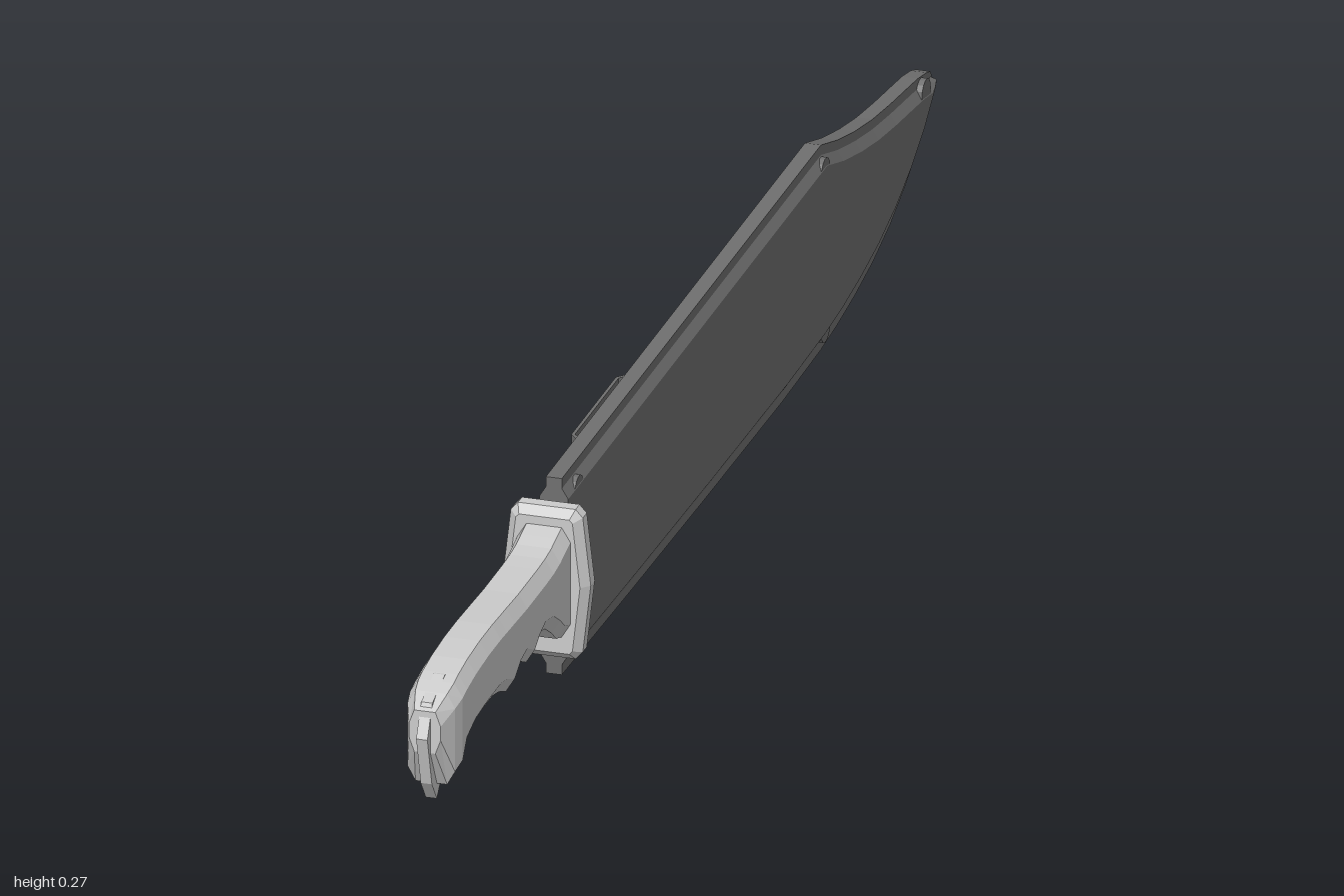
import * as THREE from 'three';

const grey = new THREE.MeshStandardMaterial({ color: 0xcccccc, flatShading: true });
const dark = new THREE.MeshStandardMaterial({ color: 0x707070, flatShading: true, side: THREE.DoubleSide });

// Loft along z. stations: [z, top, bottom, widthScale]; edge: [halfWidth, inset] from rim to flank.
function loft(stations, edge) {
  const pos = [], index = [];
  const depth = edge[edge.length - 1][1];
  const n = edge.length * 4;
  for (const [z, top, bottom, w = 1] of stations) {
    const k = Math.min(1, (top - bottom) * 0.45 / depth);
    const right = [
      ...edge.map(([x, d]) => [x * w, bottom + d * k]),
      ...edge.map(([x, d]) => [x * w, top - d * k]).reverse(),
    ];
    const left = right.map(([x, y]) => [-x, y]).reverse();
    for (const [x, y] of [...right, ...left]) pos.push(x, y, z);
  }
  const rows = stations.length;
  for (let r = 0; r < rows - 1; r++) {
    for (let i = 0; i < n; i++) {
      const j = (i + 1) % n, a = r * n + i, b = r * n + j;
      index.push(a, a + n, b, b, a + n, b + n);
    }
  }
  // End caps
  for (const r of [0, rows - 1]) {
    const [z, top, bottom] = stations[r];
    const c = pos.length / 3;
    pos.push(0, (top + bottom) / 2, z);
    for (let i = 0; i < n; i++) {
      const a = r * n + i, b = r * n + (i + 1) % n;
      if (r === 0) index.push(c, a, b);
      else index.push(c, b, a);
    }
  }
  const g = new THREE.BufferGeometry();
  g.setAttribute('position', new THREE.Float32BufferAttribute(pos, 3));
  g.setIndex(index);
  g.computeVertexNormals();
  return g;
}

const shapeOf = (pts) => new THREE.Shape(pts.map(([x, y]) => new THREE.Vector2(x, y)));

export function createModel() {
  const model = new THREE.Group();
  const add = (name, geometry, material) => {
    const mesh = new THREE.Mesh(geometry, material);
    mesh.name = name;
    model.add(mesh);
    return mesh;
  };

  // Sheath with a stepped rim, following the clipped blade outline
  add('sheath', loft([
    [0.475, 0.27, 0.014], [0.2, 0.27, 0.008], [-0.1, 0.27, 0.003], [-0.4, 0.27, 0],
    [-0.555, 0.27, 0.003], [-0.62, 0.249, 0.008], [-0.69, 0.231, 0.017], [-0.76, 0.217, 0.03],
    [-0.83, 0.207, 0.05], [-0.89, 0.2, 0.075], [-0.94, 0.194, 0.103], [-0.975, 0.187, 0.131],
    [-0.993, 0.181, 0.15, 0.9], [-1, 0.174, 0.161, 0.8],
  ], [[0.01, 0], [0.01, 0.013], [0.018, 0.026]]), dark);

  // Rivets let into the sloping rim
  for (const [z, y] of [[0.43, 0.238], [0.43, 0.045], [-0.55, 0.238], [-0.55, 0.034], [-0.95, 0.172]]) {
    const rivet = add('rivet', new THREE.CylinderGeometry(0.018, 0.018, 0.018, 14), dark);
    rivet.rotation.z = Math.PI / 2;
    rivet.position.set(0.0085, y, z);
  }

  // Two thin belt loops on the right flank
  const loop = shapeOf([
    [-0.016, -0.3], [-0.042, -0.272], [-0.042, -0.095], [-0.016, -0.065],
    [-0.016, -0.071], [-0.038, -0.097], [-0.038, -0.27], [-0.016, -0.294],
  ]);
  for (const [y, height] of [[0.05, 0.075], [0.16, 0.075]]) {
    const g = new THREE.ExtrudeGeometry(loop, { depth: height, bevelEnabled: false });
    g.rotateX(-Math.PI / 2);
    g.translate(0, y, 0);
    add('beltLoop', g, dark);
  }

  // Guard
  const half = [[0.036, 0.05], [0.045, 0.06], [0.055, 0.148], [0.045, 0.235], [0.036, 0.245]];
  const guardShape = shapeOf([...half, ...half.map(([x, y]) => [-x, y]).reverse()]);
  const guard = add('guard', new THREE.ExtrudeGeometry(guardShape, {
    depth: 0.016, bevelThickness: 0.011, bevelSize: 0.01, bevelOffset: -0.01, bevelSegments: 1,
  }), grey);
  guard.position.z = 0.487;

  // Grip with finger grooves and a flare at the guard
  add('grip', loft([
    [0.988, 0.182, 0.128, 0.6], [0.962, 0.196, 0.078, 0.9], [0.942, 0.202, 0.085], [0.925, 0.206, 0.108],
    [0.89, 0.211, 0.118], [0.84, 0.214, 0.121], [0.79, 0.214, 0.121], [0.765, 0.213, 0.116],
    [0.735, 0.212, 0.104], [0.71, 0.211, 0.118], [0.685, 0.21, 0.122], [0.655, 0.21, 0.108],
    [0.635, 0.21, 0.12], [0.61, 0.21, 0.127], [0.58, 0.211, 0.12], [0.555, 0.214, 0.104],
    [0.535, 0.219, 0.088], [0.51, 0.225, 0.08],
  ], [[0.022, 0], [0.033, 0.018]]), grey);

  // Tang plate, showing at the pommel as a ridge and a beak
  const tang = new THREE.ExtrudeGeometry(shapeOf([
    [0.88, 0.2], [0.93, 0.206], [0.98, 0.19], [1, 0.15], [0.993, 0.125],
    [0.982, 0.085], [0.962, 0.058], [0.944, 0.078], [0.925, 0.106], [0.88, 0.13],
  ]), { depth: 0.014, bevelEnabled: false });
  tang.rotateY(-Math.PI / 2);
  tang.translate(0.007, 0, 0);
  add('tang', tang, grey);

  return model;
}
